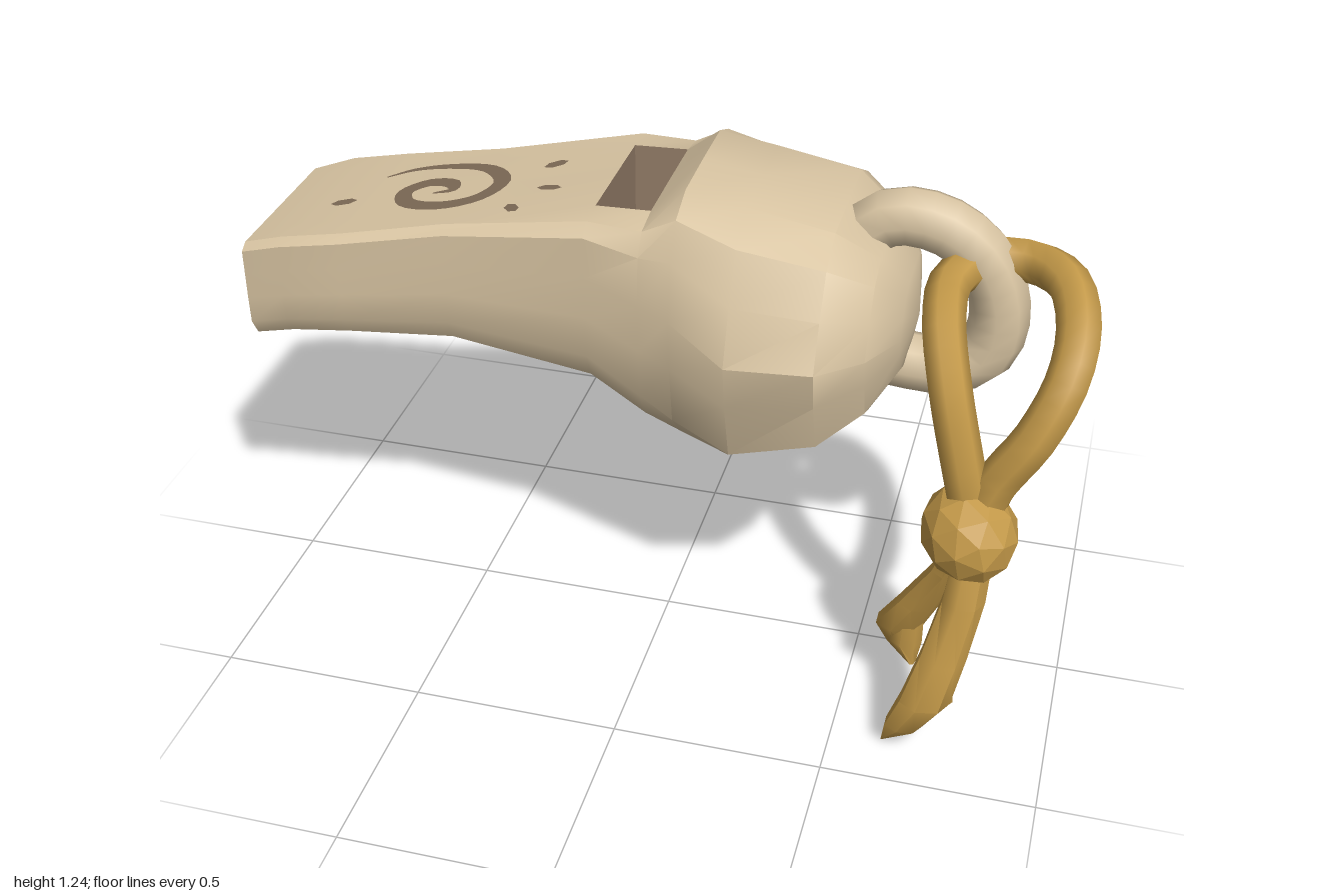
import * as THREE from 'three';
import { toCreasedNormals } from 'three/addons/utils/BufferGeometryUtils.js';

const V = (x, y, z) => new THREE.Vector3(x, y, z);

// Skin a list of closed rings, leaving out the quads chosen by skip(i, j)
function loft(rings, crease = 0.6, skip = () => false) {
  const pos = [];
  const n = rings[0].length;
  for (let i = 0; i < rings.length - 1; i++) {
    for (let j = 0; j < n; j++) {
      if (skip(i, j)) continue;
      const k = (j + 1) % n;
      const a = rings[i][j], b = rings[i][k], c = rings[i + 1][j], d = rings[i + 1][k];
      for (const [p, q, r] of [[a, b, c], [b, d, c]]) {
        if (p.distanceTo(q) < 1e-5 || q.distanceTo(r) < 1e-5 || r.distanceTo(p) < 1e-5) continue;
        for (const v of [p, q, r]) pos.push(v.x, v.y, v.z);
      }
    }
  }
  const g = new THREE.BufferGeometry();
  g.setAttribute('position', new THREE.Float32BufferAttribute(pos, 3));
  g.computeVertexNormals();
  return toCreasedNormals(g, crease);
}

// Half profiles (across, up) from top centre to bottom centre
const BOX = [[0, 1], [0.62, 1], [0.9, 1], [1, 0.88], [1, 0.4], [1, -0.1], [0.99, -0.6], [0.88, -0.93], [0.55, -1], [0, -1]];
const BULB = [[0, 1], [0.45, 0.99], [0.71, 0.83], [0.87, 0.5], [1, 0.13], [0.94, -0.2], [0.8, -0.66], [0.55, -0.8], [0.28, -0.93], [0, -1]];

// Body stations: x, bottom, top, centre z, half width, roundness
const STATIONS = [
  [-1, 0.74, 1.0, -0.055, 0.225, 0],
  [-0.9, 0.765, 1.03, -0.065, 0.242, 0],
  [-0.75, 0.785, 1.06, -0.065, 0.245, 0],
  [-0.5, 0.79, 1.105, -0.08, 0.23, 0.02],
  [-0.15, 0.75, 1.175, -0.085, 0.268, 0.08],
  [-0.02, 0.65, 1.18, -0.085, 0.288, 0.3],
  [0.06, 0.585, 1.245, -0.08, 0.315, 0.65],
  [0.2, 0.53, 1.225, -0.075, 0.365, 1],
  [0.4, 0.6, 1.185, -0.08, 0.36, 1],
  [0.5, 0.7, 1.12, -0.07, 0.275, 1],
  [0.56, 0.8, 1.04, -0.07, 0.16, 1],
  [0.58, 0.92, 0.92, -0.07, 0, 1],
];
const WINDOW = 4; // station where the window starts

function section([x, y0, y1, zc, hw, k], s = 1) {
  const half = BOX.map(([u, v], i) => [u + (BULB[i][0] - u) * k, v + (BULB[i][1] - v) * k]);
  const mirrored = half.slice(1, -1).reverse().map(([u, v]) => [-u, v]);
  return [...half, ...mirrored].map(([u, v]) =>
    V(x, (y0 + y1) / 2 + v * s * (y1 - y0) / 2, zc + u * s * hw));
}

// Height of the flat top at x
function topY(x) {
  const i = STATIONS.findIndex((s, n) => x <= STATIONS[n + 1][0]);
  const a = STATIONS[i], b = STATIONS[i + 1];
  return a[2] + (b[2] - a[2]) * (x - a[0]) / (b[0] - a[0]);
}

// Flat outline given as x, z points, laid just above the top
function decal(points) {
  const g = new THREE.ShapeGeometry(new THREE.Shape(points.map(([x, z]) => new THREE.Vector2(x, -z))));
  g.rotateX(-Math.PI / 2);
  const p = g.attributes.position;
  for (let i = 0; i < p.count; i++) p.setY(i, topY(p.getX(i)) + 0.004);
  g.computeVertexNormals();
  return g;
}

// Tapered strand from horizontal ovals: x, y, z, radius x, radius z
const strand = (ovals) => loft(ovals.map(([x, y, z, rx, rz]) =>
  Array.from({ length: 7 }, (_, j) => {
    const t = j / 7 * Math.PI * 2;
    return V(x + rx * Math.cos(t), y, z + rz * Math.sin(t));
  })), 0.9);

const tube = (pts, segments, radius, sides, closed = false) =>
  new THREE.TubeGeometry(new THREE.CatmullRomCurve3(pts.map((p) => V(...p)), closed), segments, radius, sides, closed);

export function createModel() {
  const model = new THREE.Group();
  const bone = new THREE.MeshStandardMaterial({ name: 'bone', color: 0xd8c4a2 });
  const hollow = new THREE.MeshStandardMaterial({ name: 'hollow brown', color: 0x947d68, side: THREE.DoubleSide });
  const paint = new THREE.MeshStandardMaterial({ name: 'carving brown', color: 0x7d6a56 });
  const leather = new THREE.MeshStandardMaterial({ name: 'leather', color: 0xc29848 });

  const add = (name, geometry, material, parent = model) => {
    const mesh = new THREE.Mesh(geometry, material);
    mesh.name = name;
    parent.add(mesh);
    return mesh;
  };

  // Whistle body with an open mouth end and a window in the top
  const rings = STATIONS.map((s) => section(s));
  const mouth = section(STATIONS[0], 0.68);
  const last = mouth.length - 1;
  add('whistleBody', loft([mouth, ...rings], 0.55,
    (i, j) => i === WINDOW + 1 && (j === 0 || j === last)), bone);

  // Air channel behind the mouth
  const channelEnd = mouth.map((p) => V(-0.55, p.y + 0.07, p.z));
  const endPoint = mouth.map(() => V(-0.55, 0.94, -0.06));
  add('airChannel', loft([endPoint, channelEnd, mouth]), hollow);

  // Pit under the window, sloping up to the back
  const [a, b] = [rings[WINDOW], rings[WINDOW + 1]];
  const rim = [a[last], a[0], a[1], b[1], b[0], b[last]];
  const floor = rim.map((p) => V(p.x, p.x < -0.1 ? 0.98 : 1.03, p.z));
  const floorCentre = rim.map(() => V(-0.085, 1.005, -0.085));
  add('windowPit', loft([rim, floor, floorCentre], 0.3), hollow);

  // Spiral carving: a ribbon that tapers at both ends
  const path = new THREE.CatmullRomCurve3([
    [-0.75, -0.14], [-0.69, -0.175], [-0.6, -0.185], [-0.49, -0.16], [-0.43, -0.08], [-0.46, 0], [-0.55, 0.035],
    [-0.64, 0.01], [-0.665, -0.05], [-0.62, -0.095], [-0.56, -0.085], [-0.545, -0.05], [-0.59, -0.035],
  ].map(([x, z]) => V(x, 0, z)));
  const left = [], right = [];
  for (let i = 0; i <= 48; i++) {
    const t = i / 48, p = path.getPoint(t), d = path.getTangent(t);
    const w = 0.003 + 0.018 * Math.min(1, t * 3.5, (1 - t) * 6);
    left.push([p.x - d.z * w, p.z + d.x * w]);
    right.unshift([p.x + d.z * w, p.z - d.x * w]);
  }
  add('spiralCarving', decal([...left, ...right]), paint);

  // Small chips around the spiral: x, z, half length, half width, turn
  for (const [x, z, l, w, r] of [
    [-0.81, -0.01, 0.033, 0.017, -0.2], [-0.32, -0.16, 0.03, 0.018, -0.5],
    [-0.295, -0.028, 0.032, 0.014, 0.15], [-0.355, 0.07, 0.026, 0.016, 0.9],
  ]) {
    const pts = Array.from({ length: 6 }, (_, i) => {
      const t = i / 6 * Math.PI * 2, u = l * Math.cos(t), v = w * Math.sin(t);
      return [x + u * Math.cos(r) - v * Math.sin(r), z + u * Math.sin(r) + v * Math.cos(r)];
    });
    add('chipCarving', decal(pts), paint);
  }

  // Bail at the back of the bulb
  add('bail', tube([
    [0.4, 1.06, -0.07], [0.5, 1.16, -0.07], [0.62, 1.155, -0.07], [0.72, 1.08, -0.07],
    [0.762, 0.95, -0.07], [0.735, 0.84, -0.07], [0.65, 0.795, -0.07], [0.48, 0.8, -0.07],
  ], 20, 0.07, 8), bone);

  // Leather cord looped through the bail and knotted
  const cord = new THREE.Group();
  cord.name = 'cord';
  model.add(cord);
  add('cordLoop', tube([
    [0.77, 0.62, 0.27], [0.735, 0.76, 0.265], [0.69, 0.92, 0.225], [0.655, 1.03, 0.13], [0.655, 1.065, 0.02],
    [0.72, 1.08, -0.075], [0.82, 1.085, -0.085], [0.905, 1.085, -0.01], [0.945, 1.04, 0.1],
    [0.94, 0.96, 0.2], [0.89, 0.84, 0.255], [0.82, 0.72, 0.265], [0.78, 0.6, 0.27],
  ], 36, 0.05, 7), leather, cord);

  const knot = add('knot', toCreasedNormals(new THREE.IcosahedronGeometry(1, 1), 0.3), leather, cord);
  knot.scale.set(0.11, 0.11, 0.125);
  knot.position.set(0.77, 0.59, 0.285);
  knot.rotation.set(0.2, 0.4, 0.15);

  // Two tails with split tips
  add('frontTail', strand([
    [0.785, 0.54, 0.28, 0.045, 0.045], [0.775, 0.42, 0.315, 0.05, 0.05], [0.745, 0.28, 0.355, 0.055, 0.05],
    [0.715, 0.17, 0.39, 0.06, 0.052], [0.67, 0.08, 0.385, 0.045, 0.035], [0.62, 0.005, 0.37, 0, 0],
  ]), leather, cord);
  add('frontTailTip', strand([
    [0.735, 0.26, 0.37, 0.03, 0.03], [0.735, 0.16, 0.37, 0.045, 0.03], [0.76, 0.12, 0.35, 0, 0],
  ]), leather, cord);
  add('backTail', strand([
    [0.76, 0.54, 0.27, 0.04, 0.04], [0.73, 0.44, 0.24, 0.042, 0.04], [0.665, 0.31, 0.21, 0.05, 0.045],
    [0.62, 0.22, 0.185, 0.058, 0.045], [0.625, 0.14, 0.155, 0.035, 0.03], [0.64, 0.06, 0.137, 0, 0],
  ]), leather, cord);
  add('backTailTip', strand([
    [0.645, 0.28, 0.2, 0.035, 0.03], [0.64, 0.18, 0.2, 0.04, 0.03], [0.66, 0.12, 0.2, 0.01, 0.02], [0.66, 0.115, 0.2, 0, 0],
  ]), leather, cord);

  return model;
}
